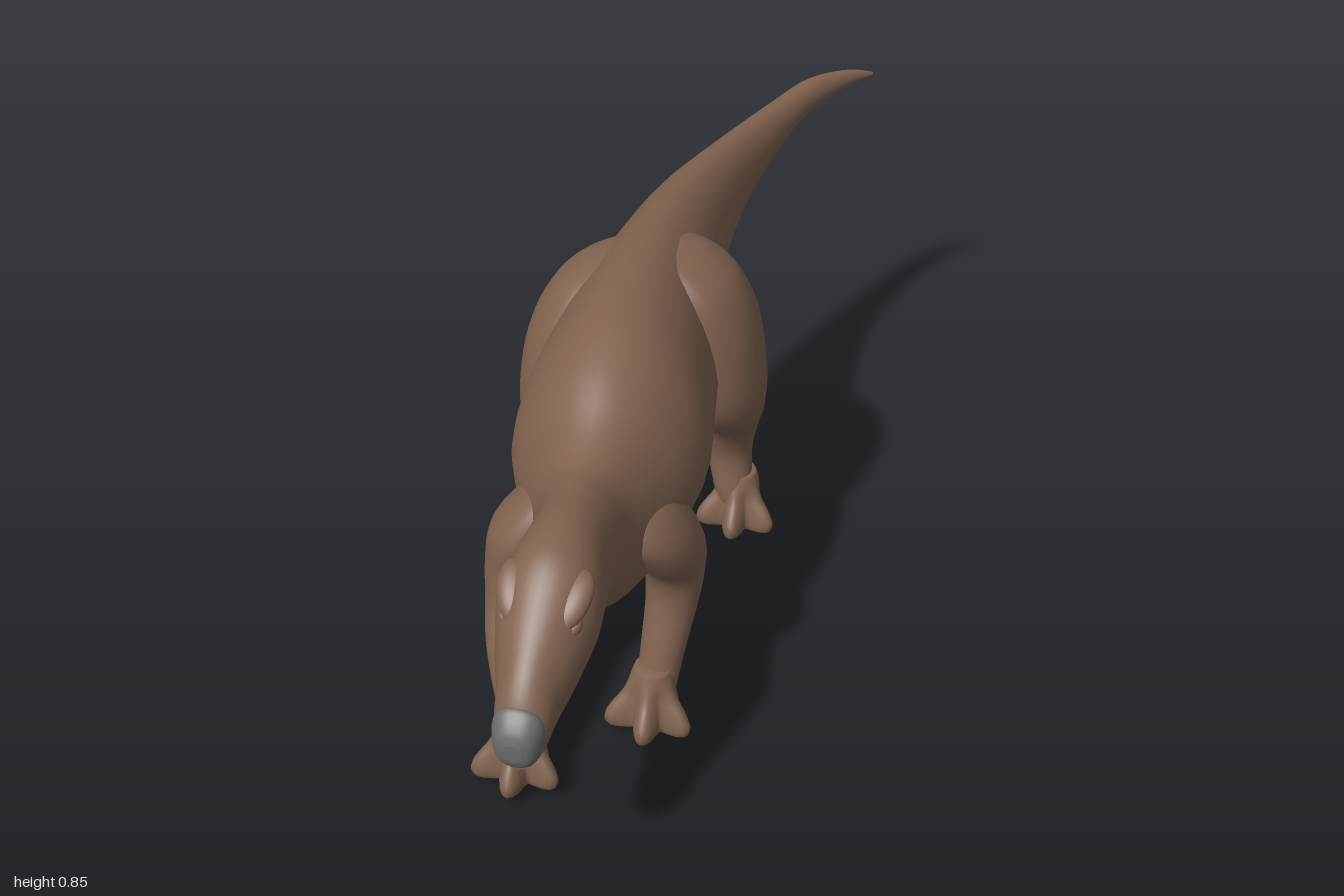
import * as THREE from 'three';

const hide = new THREE.MeshStandardMaterial({ color: 0x80624f });
hide.name = 'brown hide';
const horn = new THREE.MeshStandardMaterial({ color: 0x696a69 });
horn.name = 'grey beak';

// Smooth interpolation through rows of numbers
function smoothRows(rows, steps) {
  const out = [];
  const row = i => rows[Math.max(0, Math.min(rows.length - 1, i))];
  for (let i = 0; i < rows.length - 1; i++) {
    for (let s = 0; s < steps; s++) {
      const t = s / steps;
      const [p, a, b, n] = [row(i - 1), row(i), row(i + 1), row(i + 2)];
      out.push(a.map((v, k) => v + 0.5 * t * (b[k] - p[k] +
        t * (2 * p[k] - 5 * v + 4 * b[k] - n[k] + t * (3 * (v - b[k]) + n[k] - p[k])))));
    }
  }
  out.push(rows[rows.length - 1]);
  return out;
}

// Skin a list of equal-sized rings and close both ends
function loft(name, rings, material) {
  const n = rings[0].length, pos = [], index = [];
  rings.forEach(r => r.forEach(p => pos.push(...p)));
  const centre = r => [0, 1, 2].map(k => r.reduce((s, p) => s + p[k], 0) / n);
  const last = rings.length - 1, c0 = rings.length * n;
  pos.push(...centre(rings[0]), ...centre(rings[last]));
  for (let j = 0; j < n; j++) {
    const k = (j + 1) % n;
    for (let i = 0; i < last; i++) {
      const a = i * n + j, b = i * n + k;
      index.push(a, b, a + n, b, b + n, a + n);
    }
    index.push(c0, k, j, c0 + 1, last * n + j, last * n + k);
  }
  const g = new THREE.BufferGeometry();
  g.setAttribute('position', new THREE.Float32BufferAttribute(pos, 3));
  g.setIndex(index);
  g.computeVertexNormals();
  const mesh = new THREE.Mesh(g, material);
  mesh.name = name;
  return mesh;
}

const circle = (n, f) => Array.from({ length: n }, (_, j) => {
  const a = (j / n) * Math.PI * 2;
  return f(Math.cos(a), Math.sin(a));
});

// Rows: z, centre x, top y, bottom y, half width; power below 1 squares the section
function bodyLoft(name, rows, material, power = 1) {
  const square = v => Math.sign(v) * Math.abs(v) ** power;
  return loft(name, smoothRows(rows, 6).map(([z, x, top, bot, w]) => circle(36, (c, s) => {
    const ridge = w > 0.1 && s > 0 ? 1 - Math.min(1, (w - 0.1) / 0.06) * 0.14 * s : 1;
    return [x + w * square(c) * ridge, (top + bot) / 2 + (top - bot) / 2 * square(s), z];
  })), material);
}

// Rows going down: y, x, z, half width, half depth
function limbLoft(name, rows) {
  return loft(name, smoothRows(rows, 5).map(([y, x, z, rx, rz]) =>
    circle(24, (c, s) => [x + rx * c, y, z + rz * s])), hide);
}

function blob(name, position, scale, rotation = [0, 0, 0]) {
  const m = new THREE.Mesh(new THREE.SphereGeometry(1, 20, 14), hide);
  m.name = name;
  m.position.set(...position);
  m.scale.set(...scale);
  m.rotation.set(...rotation, 'YXZ');
  return m;
}

// Flared foot whose outline swells into three forward toes
function foot(name, x, y, z) {
  const rows = [ // y, radius, toe length
    [0.14, 0.036, 0], [0.115, 0.044, 0.002], [0.085, 0.046, 0.016], [0.06, 0.05, 0.033],
    [0.035, 0.054, 0.045], [0.015, 0.054, 0.045], [0.004, 0.048, 0.041], [0, 0.035, 0.03],
  ];
  const mesh = loft(name, smoothRows(rows, 3).map(([h, r, toe]) => circle(60, (c, s) => {
    const a = Math.atan2(c, s);
    const lobe = Math.max(...[-1.05, 0, 1.05].map(t => Math.exp(-(((a - t) / 0.33) ** 2))));
    const reach = r + toe * lobe;
    return [reach * c, h, reach * s];
  })), hide);
  mesh.position.set(x, y, z);
  return mesh;
}

export function createModel() {
  const model = new THREE.Group();
  model.name = 'dinosaur';

  // Tail, torso, neck and head in one skin
  model.add(bodyLoft('body', [
    [-1, 0.277, 0.792, 0.782, 0.003], [-0.97, 0.225, 0.805, 0.765, 0.018],
    [-0.9, 0.157, 0.81, 0.738, 0.03], [-0.8, 0.1, 0.798, 0.7, 0.037],
    [-0.6, 0.027, 0.8, 0.605, 0.056], [-0.4, -0.018, 0.815, 0.5, 0.09],
    [-0.2, -0.03, 0.835, 0.41, 0.127], [-0.05, -0.03, 0.845, 0.335, 0.163],
    [0.1, -0.025, 0.843, 0.32, 0.184], [0.22, -0.018, 0.825, 0.32, 0.195],
    [0.32, -0.015, 0.79, 0.33, 0.18], [0.42, -0.005, 0.738, 0.335, 0.14],
    [0.5, 0.005, 0.713, 0.365, 0.102], [0.57, 0.012, 0.718, 0.43, 0.086],
    [0.65, 0.015, 0.73, 0.488, 0.082], [0.72, 0.017, 0.73, 0.497, 0.09],
    [0.78, 0.017, 0.712, 0.475, 0.092], [0.85, 0.017, 0.66, 0.445, 0.075],
    [0.9, 0.017, 0.612, 0.425, 0.058], [0.94, 0.017, 0.571, 0.414, 0.05],
    [0.965, 0.017, 0.532, 0.413, 0.04], [0.978, 0.017, 0.48, 0.42, 0.026],
  ], hide));
  model.add(bodyLoft('beak', [
    [0.945, 0.017, 0.525, 0.45, 0.04], [0.957, 0.017, 0.545, 0.434, 0.047],
    [0.975, 0.017, 0.535, 0.431, 0.043], [0.992, 0.017, 0.515, 0.44, 0.032],
    [1, 0.017, 0.495, 0.458, 0.016],
  ], horn, 0.8));

  // Brow ridges and eyes
  for (const s of [-1, 1]) {
    model.add(blob('brow', [0.017 + s * 0.05, 0.657, 0.795], [0.034, 0.022, 0.06], [0.6, -s * 0.3, 0]));
    model.add(blob('eye', [0.017 + s * 0.063, 0.625, 0.823], [0.012, 0.013, 0.018], [0.5, -s * 0.3, 0]));
  }

  // Hind legs
  model.add(limbLoft('hindLegLeft', [
    [0.815, 0.02, -0.1, 0.02, 0.04], [0.8, 0.04, -0.1, 0.055, 0.085],
    [0.75, 0.076, -0.1, 0.082, 0.115], [0.65, 0.102, -0.105, 0.099, 0.135],
    [0.52, 0.118, -0.103, 0.102, 0.13], [0.44, 0.128, -0.12, 0.088, 0.108],
    [0.38, 0.125, -0.175, 0.078, 0.092], [0.3, 0.12, -0.245, 0.062, 0.062],
    [0.2, 0.112, -0.278, 0.052, 0.045], [0.1, 0.125, -0.268, 0.044, 0.043],
    [0.05, 0.135, -0.268, 0.04, 0.04],
  ]));
  model.add(foot('hindFootLeft', 0.138, 0, -0.275));
  model.add(limbLoft('hindLegRight', [
    [0.815, -0.06, -0.06, 0.02, 0.04], [0.8, -0.085, -0.06, 0.055, 0.08],
    [0.75, -0.123, -0.045, 0.085, 0.11], [0.65, -0.157, -0.025, 0.1, 0.127],
    [0.52, -0.17, 0, 0.104, 0.12], [0.42, -0.182, 0, 0.087, 0.11],
    [0.34, -0.181, -0.045, 0.073, 0.092], [0.25, -0.18, -0.092, 0.059, 0.07],
    [0.15, -0.185, -0.08, 0.047, 0.054], [0.09, -0.185, -0.055, 0.043, 0.043],
    [0.06, -0.184, -0.05, 0.04, 0.04],
  ]));
  model.add(foot('hindFootRight', -0.184, 0.022, -0.045));

  // Front legs
  model.add(limbLoft('frontLegLeft', [
    [0.6, 0.065, 0.41, 0.02, 0.03], [0.57, 0.085, 0.405, 0.052, 0.075],
    [0.51, 0.108, 0.39, 0.07, 0.098], [0.44, 0.13, 0.362, 0.069, 0.09],
    [0.37, 0.135, 0.336, 0.061, 0.069], [0.3, 0.134, 0.342, 0.054, 0.057],
    [0.2, 0.125, 0.376, 0.046, 0.046], [0.12, 0.117, 0.4, 0.042, 0.04],
    [0.07, 0.111, 0.412, 0.04, 0.04],
  ]));
  model.add(foot('frontFootLeft', 0.111, 0.022, 0.415));
  model.add(limbLoft('frontLegRight', [
    [0.6, -0.065, 0.42, 0.02, 0.03], [0.57, -0.088, 0.42, 0.052, 0.075],
    [0.5, -0.125, 0.425, 0.074, 0.097], [0.42, -0.147, 0.43, 0.068, 0.088],
    [0.34, -0.155, 0.45, 0.058, 0.077], [0.27, -0.145, 0.5, 0.056, 0.066],
    [0.2, -0.124, 0.55, 0.053, 0.053], [0.12, -0.102, 0.6, 0.042, 0.042],
    [0.07, -0.105, 0.612, 0.04, 0.04],
  ]));
  model.add(foot('frontFootRight', -0.105, 0.022, 0.615));

  return model;
}
